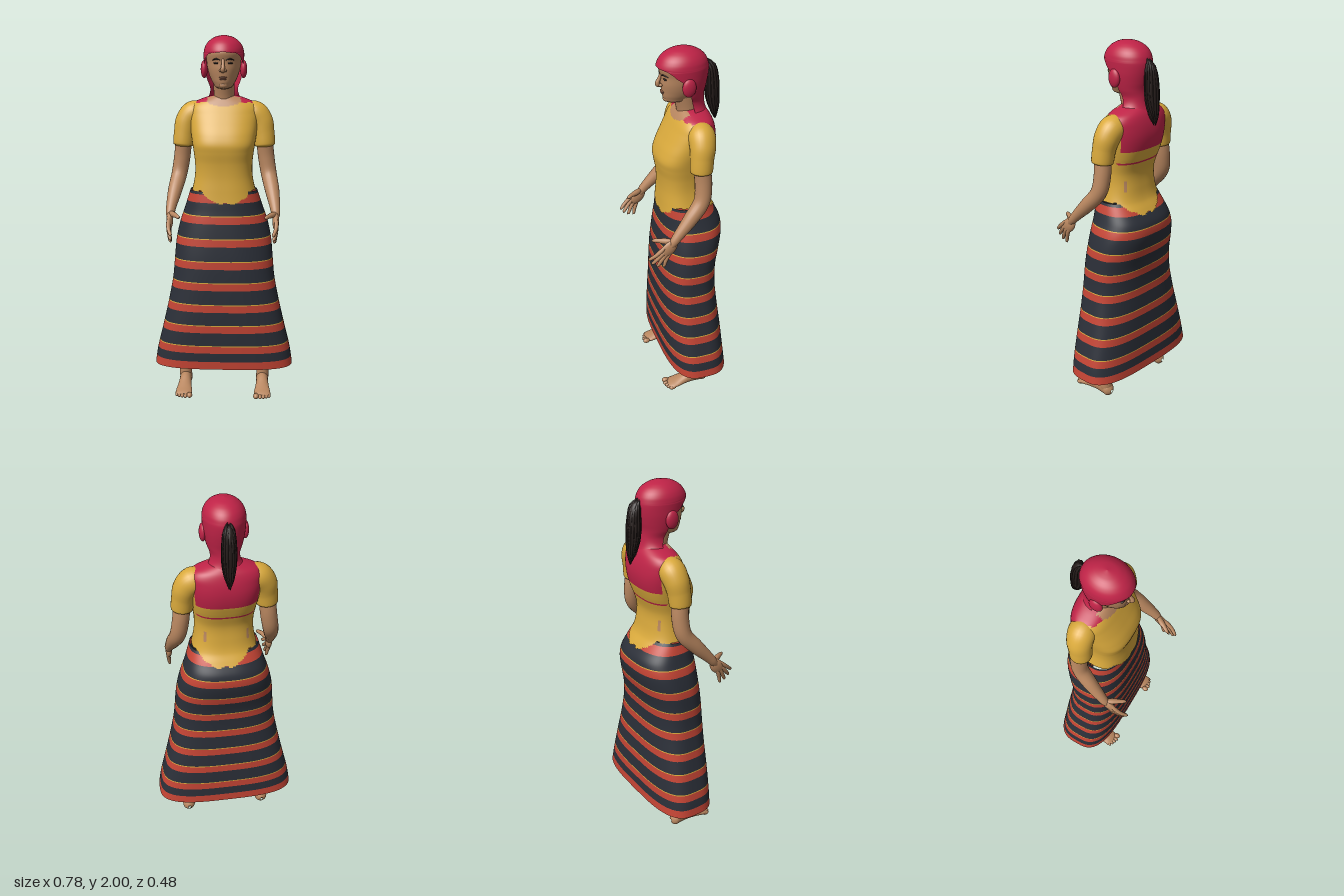
import * as THREE from 'three';
import { mergeVertices } from 'three/addons/utils/BufferGeometryUtils.js';

const mat = (name, color, side = THREE.FrontSide) => {
  const m = new THREE.MeshStandardMaterial({ color, side });
  m.name = name;
  return m;
};

// Smooth interpolation through rows of numbers whose first entry is the key
function sampler(rows) {
  const size = rows[0].length - 1;
  const it = new THREE.CubicInterpolant(rows.map(r => r[0]), rows.flatMap(r => r.slice(1)), size);
  return k => Array.from(it.evaluate(k));
}

// Stacked superellipse rings [y, zFront, zBack, halfWidth, power, frontOpening];
// paint(x, y, z) picks a material index, or -1 to leave the face out
function loft(rings, rows, segs, paint = () => 0) {
  const at = sampler(rings), y0 = rings[0][0], y1 = rings[rings.length - 1][0];
  const pos = [], faces = [];
  for (let i = 0; i <= rows; i++) {
    const y = y0 + (y1 - y0) * i / rows;
    const [zf, zb, hw, n = 2, open = 0] = at(y);
    const a0 = Math.max(0, open);
    for (let j = 0; j <= segs; j++) {
      const a = a0 + (2 * Math.PI - 2 * a0) * j / segs;
      const s = Math.sin(a), c = Math.cos(a);
      const pw = v => Math.abs(v) < 1e-6 ? 0 : Math.sign(v) * Math.abs(v) ** (2 / n);
      pos.push(hw * pw(s), y, (zf + zb) / 2 + (zf - zb) / 2 * pw(c));
    }
  }
  for (let i = 0; i < rows; i++) for (let j = 0; j < segs; j++) {
    const a = i * (segs + 1) + j, b = a + 1, d = a + segs + 1, c = d + 1;
    const mid = k => (pos[3 * a + k] + pos[3 * c + k]) / 2;
    const m = paint(mid(0), mid(1), mid(2));
    if (m >= 0) (faces[m] ??= []).push(a, b, c, a, c, d);
  }
  let g = new THREE.BufferGeometry();
  g.setAttribute('position', new THREE.Float32BufferAttribute(pos, 3));
  g.setIndex([].concat(...faces.filter(Boolean)));
  g = mergeVertices(g, 1e-5);
  let start = 0;
  faces.forEach((f, m) => { g.addGroup(start, f.length, m); start += f.length; });
  g.computeVertexNormals();
  return g;
}

// Round limb along points [x, y, z, radius]
function limb(pts, rows = 20, sides = 16) {
  const curve = new THREE.CatmullRomCurve3(pts.map(p => new THREE.Vector3(p[0], p[1], p[2])));
  const rad = sampler(pts.map((p, i) => [i / (pts.length - 1), p[3]]));
  let g = new THREE.TubeGeometry(curve, rows, 1, sides);
  const p = g.attributes.position, v = new THREE.Vector3();
  for (let i = 0; i <= rows; i++) {
    const c = curve.getPointAt(i / rows);
    const r = Math.max(0.001, rad(curve.getUtoTmapping(i / rows))[0]);
    for (let j = 0; j <= sides; j++) {
      const k = i * (sides + 1) + j;
      v.fromBufferAttribute(p, k).sub(c).multiplyScalar(r).add(c);
      p.setXYZ(k, v.x, v.y, v.z);
    }
  }
  g.deleteAttribute('uv');
  g.deleteAttribute('normal');
  g = mergeVertices(g, 1e-5);
  g.computeVertexNormals();
  return g;
}

export function createModel() {
  const root = new THREE.Group();
  const skin = mat('skin', 0xb98760), yellow = mat('shirtYellow', 0xd9a93c, THREE.DoubleSide);
  const crimson = mat('wrapCrimson', 0xbf2347, THREE.DoubleSide), red = mat('stripeRed', 0xc44434, THREE.DoubleSide);
  const navy = mat('skirtNavy', 0x2b2f38, THREE.DoubleSide), hair = mat('hair', 0x251c1a), lip = mat('lip', 0x8d5a45);
  const add = (name, geo, material, parent = root) => {
    const m = new THREE.Mesh(geo, material);
    m.name = name;
    parent.add(m);
    return m;
  };
  const ball = (name, x, y, z, sx, sy, sz, material, parent = root) => {
    const m = add(name, new THREE.SphereGeometry(1, 20, 14), material, parent);
    m.position.set(x, y, z);
    m.scale.set(sx, sy, sz);
    return m;
  };

  // Striped skirt, open at the hem
  const bands = [[0.16, 0.21], [0.26, 0.3], [0.38, 0.42], [0.5, 0.54], [0.625, 0.665], [0.745, 0.785], [0.87, 0.91], [0.995, 1.035], [1.11, 1.155]];
  add('skirt', loft([
    [0.165, 0.113, -0.228, 0.392, 3.2], [0.25, 0.116, -0.222, 0.378, 3.1], [0.4, 0.12, -0.212, 0.342, 3],
    [0.55, 0.121, -0.2, 0.308, 2.8], [0.68, 0.121, -0.192, 0.284, 2.7], [0.8, 0.118, -0.198, 0.273, 2.6],
    [0.9, 0.112, -0.22, 0.263, 2.5], [1.0, 0.104, -0.237, 0.24, 2.5], [1.06, 0.098, -0.228, 0.219, 2.5],
    [1.11, 0.094, -0.198, 0.203, 2.5], [1.17, 0.087, -0.156, 0.184, 2.5],
  ], 201, 72, (x, y) => {
    if (bands.some(b => y > b[0] && y < b[1])) return 0;
    return bands.some(b => y > b[1] && y < b[1] + 0.005 && y < 1.1 && y > 0.22) ? 2 : 1;
  }), [red, navy, yellow]);

  // Shirt body with uneven hem, bare neckline and the shawl over the upper back
  add('shirtBody', loft([
    [1.09, 0.101, -0.218, 0.2, 2.5], [1.13, 0.097, -0.192, 0.188, 2.5], [1.17, 0.094, -0.167, 0.174, 2.5],
    [1.25, 0.09, -0.15, 0.158, 2.5], [1.32, 0.094, -0.148, 0.157, 2.5], [1.38, 0.104, -0.164, 0.164, 2.6],
    [1.42, 0.107, -0.178, 0.17, 2.7], [1.47, 0.092, -0.193, 0.178, 2.6], [1.53, 0.062, -0.2, 0.186, 2.5],
    [1.58, 0.036, -0.196, 0.19, 2.4], [1.62, 0.015, -0.186, 0.183, 2.4], [1.645, 0, -0.176, 0.16, 2.3],
    [1.66, -0.01, -0.167, 0.125, 2.2], [1.675, -0.02, -0.157, 0.08, 2], [1.685, -0.03, -0.15, 0.03, 2],
  ], 119, 96, (x, y, z) => {
    const ax = Math.abs(x);
    const hem = 1.11 + 0.06 * THREE.MathUtils.clamp((Math.abs(x - 0.02) - 0.06) / 0.08, 0, 1) + 0.004 * Math.sin(x * 90);
    if (y < hem) return -1;
    if (z > -0.05 && ax < 0.09 && y > 1.625 + 2.5 * x * x) return 2;
    if (z < -0.07 && y > 1.46 && ax < 0.178 - 0.1 * (1.66 - y)) return 1;
    if (z < -0.015 && y > 1.642 + 0.004 * Math.sin(x * 150)) return 1;
    if (z < -0.1 && y > 1.385 && y < 1.396) return 1;
    return z < -0.08 && ax > 0.108 && ax < 0.12 && y > 1.23 && y < 1.29 ? 2 : 0;
  }), [yellow, crimson, skin]);

  // Head, neck and face
  const head = new THREE.Group();
  head.name = 'head';
  root.add(head);
  add('neck', limb([[0, 1.6, -0.075, 0.058], [0, 1.68, -0.065, 0.056], [0, 1.76, -0.045, 0.058]], 8, 24), skin, head);
  add('face', loft([
    [1.714, 0.03, -0.03, 0.004], [1.722, 0.049, -0.06, 0.035], [1.745, 0.063, -0.1, 0.056], [1.78, 0.069, -0.13, 0.074],
    [1.82, 0.074, -0.145, 0.086], [1.86, 0.074, -0.15, 0.092], [1.91, 0.084, -0.15, 0.093], [1.95, 0.06, -0.12, 0.07],
  ], 40, 48), skin, head);
  add('nose', limb([[0, 1.875, 0.071, 0.007], [0, 1.845, 0.083, 0.009], [0, 1.822, 0.092, 0.012], [0, 1.812, 0.084, 0.011], [0, 1.808, 0.072, 0.003]], 16, 12), skin, head);
  ball('upperLip', 0, 1.779, 0.067, 0.022, 0.005, 0.009, lip, head);
  ball('lowerLip', 0, 1.77, 0.066, 0.018, 0.005, 0.009, lip, head);
  ball('chin', 0, 1.738, 0.05, 0.022, 0.016, 0.014, skin, head);

  // Head wrap, open around the face and running down the neck
  add('headWrap', loft([
    [1.64, 0, -0.176, 0.115, 2, 1.6], [1.68, 0, -0.16, 0.082, 2, 1.55], [1.72, 0.02, -0.153, 0.076, 2, 1.6],
    [1.76, 0.045, -0.153, 0.09, 2, 1.6], [1.8, 0.072, -0.162, 0.1, 2, 1.55], [1.84, 0.086, -0.17, 0.106, 2, 1.4],
    [1.87, 0.093, -0.174, 0.108, 2, 1.1], [1.895, 0.096, -0.175, 0.109, 2, 0.85], [1.905, 0.096, -0.174, 0.109, 2, 0.6],
    [1.91, 0.096, -0.173, 0.108, 2, 0], [1.935, 0.086, -0.165, 0.102, 2, 0], [1.96, 0.067, -0.147, 0.087, 2, 0],
    [1.98, 0.038, -0.119, 0.064, 2, 0], [1.993, 0.003, -0.084, 0.036, 2, 0], [2, -0.04, -0.0401, 0.0001, 2, 0],
  ], 90, 56), crimson, head);

  // Ponytail with loose strands
  const tail = [[1.912, -0.166, 0.006], [1.885, -0.187, 0.024], [1.8, -0.198, 0.035], [1.72, -0.203, 0.034], [1.65, -0.214, 0.021], [1.6, -0.222, 0.004]];
  add('ponytail', limb(tail.map(([y, z, r]) => [0, y, z, r]), 24, 14), hair, head);
  for (let i = 0; i < 14; i++) {
    const a = i * Math.PI / 7, dy = 0.012 * Math.sin(i * 5.3);
    add('hairStrand', limb(tail.map(([y, z, r], k) =>
      [Math.sin(a) * r * 0.92, y + dy, z + Math.cos(a) * r * 0.92, k % 5 ? 0.007 : 0.002]), 14, 6), hair, head);
  }

  for (const s of [1, -1]) {
    const side = s > 0 ? 'left' : 'right';
    const part = (name, pts, material, rows, sides) =>
      add(side + name, limb(pts.map(([x, y, z, r]) => [s * x, y, z, r]), rows, sides), material);

    // Facial details and covered ears
    part('Brow', [[0.013, 1.868, 0.075, 0.002], [0.036, 1.875, 0.07, 0.004], [0.058, 1.868, 0.053, 0.002]], hair, 10, 8);
    ball(side + 'Eye', s * 0.035, 1.853, 0.063, 0.016, 0.005, 0.008, hair);
    ball(side + 'Nostril', s * 0.011, 1.815, 0.078, 0.009, 0.008, 0.01, skin);
    ball(side + 'CoveredEar', s * 0.106, 1.82, -0.04, 0.019, 0.048, 0.036, crimson);

    // Sleeve and arm
    part('Sleeve', [[0.12, 1.58, -0.085, 0.06], [0.165, 1.58, -0.085, 0.07], [0.2, 1.54, -0.08, 0.067],
      [0.215, 1.48, -0.072, 0.061], [0.223, 1.41, -0.067, 0.057], [0.2235, 1.403, -0.067, 0.042]], yellow, 36, 28);
    part('Arm', [[0.22, 1.46, -0.066, 0.045], [0.233, 1.34, -0.075, 0.045], [0.248, 1.25, -0.062, 0.043],
      [0.266, 1.17, 0.002, 0.039], [0.281, 1.09, 0.075, 0.028], [0.285, 1.06, 0.1, 0.024], [0.285, 1.03, 0.122, 0.015]], skin, 32, 20);

    // Hand with spread fingers
    ball(side + 'Palm', s * 0.285, 1.022, 0.128, 0.018, 0.055, 0.036, skin).rotation.x = -0.72;
    [[1.022, 0.168, 0.96, 0.238], [1.005, 0.16, 0.934, 0.222], [0.992, 0.148, 0.916, 0.195], [0.985, 0.133, 0.908, 0.163]].forEach(([y, z, ty, tz], i) =>
      part('Finger', [[0.286, y + 0.02, z - 0.02, 0.008], [0.288, y, z, 0.0115], [0.284, (y + ty) / 2, (z + tz) / 2, 0.0105],
        [0.271 + i * 0.003, ty + 0.006, tz - 0.006, 0.008], [0.269 + i * 0.003, ty, tz, 0.001]], skin, 14, 10));
    part('Thumb', [[0.283, 1.06, 0.11, 0.012], [0.265, 1.058, 0.14, 0.016], [0.247, 1.057, 0.172, 0.012],
      [0.231, 1.053, 0.198, 0.009], [0.227, 1.051, 0.206, 0.001]], skin, 14, 10);

    // Leg, foot and toes
    part('Leg', [[0.2, 0.65, -0.08, 0.06], [0.215, 0.35, -0.08, 0.052], [0.223, 0.18, -0.077, 0.035],
      [0.224, 0.09, -0.075, 0.034], [0.223, 0.045, -0.078, 0.036], [0.223, 0.01, -0.08, 0.02]], skin, 24, 20);
    const foot = add(side + 'Foot', loft([
      [-0.122, -0.022, -0.04, 0.008], [-0.11, -0.003, -0.062, 0.028], [-0.07, 0, -0.085, 0.035], [-0.025, -0.001, -0.086, 0.034],
      [0.03, -0.001, -0.06, 0.039], [0.075, 0, -0.04, 0.046], [0.105, -0.002, -0.029, 0.044], [0.12, -0.01, -0.02, 0.03],
    ], 28, 24), skin);
    foot.rotation.x = Math.PI / 2;
    foot.position.x = s * 0.222;
    [[0.187, 0.124, 0.0155], [0.21, 0.124, 0.011], [0.228, 0.119, 0.0105], [0.245, 0.112, 0.01], [0.26, 0.102, 0.01]].forEach(([x, z, r]) =>
      ball(side + 'Toe', s * x, r, z, r, r, 0.021, skin));
  }
  return root;
}
